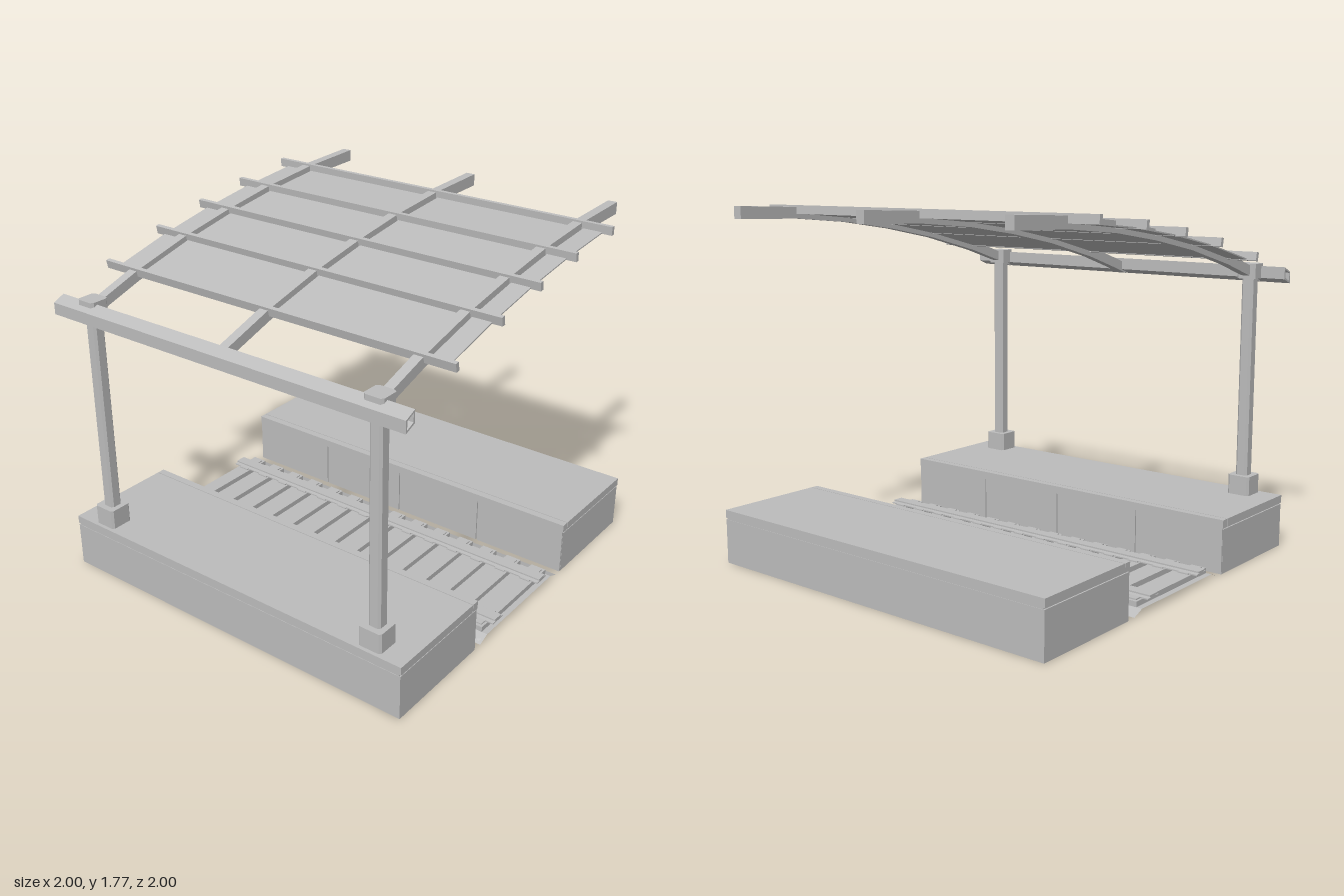
import * as THREE from 'three';

const grey = new THREE.MeshStandardMaterial({ color: 0xbcbcbc });
grey.name = 'plain grey';
const greySheet = new THREE.MeshStandardMaterial({ color: 0xbcbcbc, side: THREE.DoubleSide });
greySheet.name = 'plain grey sheet';

const polygon = (pts) => new THREE.Shape(pts.map(([x, y]) => new THREE.Vector2(x, y)));

export function createModel() {
  const model = new THREE.Group();

  const add = (name, geometry, material = grey, parent = model) => {
    const mesh = new THREE.Mesh(geometry, material);
    mesh.name = name;
    parent.add(mesh);
    return mesh;
  };
  // Box given by its limits
  const box = (name, x0, x1, y0, y1, z0, z1, parent = model) => {
    const mesh = add(name, new THREE.BoxGeometry(x1 - x0, y1 - y0, z1 - z0), grey, parent);
    mesh.position.set((x0 + x1) / 2, (y0 + y1) / 2, (z0 + z1) / 2);
    return mesh;
  };
  // Shape in x and y, extruded from z0 to z1
  const prism = (name, shape, z0, z1, parent = model) => {
    const geo = new THREE.ExtrudeGeometry(shape, { depth: z1 - z0, bevelEnabled: false });
    geo.translate(0, 0, z0);
    return add(name, geo, grey, parent);
  };
  // Upright square block with chamfered corners
  const chamferedPost = (name, x, z, half, cut, y0, y1) => {
    const a = half, b = half - cut;
    const shape = polygon([[-a, -b], [-b, -a], [b, -a], [a, -b], [a, b], [b, a], [-b, a], [-a, b]]);
    const geo = new THREE.ExtrudeGeometry(shape, { depth: y1 - y0, bevelEnabled: false });
    geo.rotateX(-Math.PI / 2);
    add(name, geo).position.set(x, y0, z);
  };

  // Platforms: body, overhanging slab, edging and wall panels on the track side
  for (const side of [-1, 1]) {
    const platform = new THREE.Group();
    platform.name = side < 0 ? 'rightPlatform' : 'leftPlatform';
    model.add(platform);
    const part = (name, a, b, y0, y1, z0, z1) =>
      box(name, Math.min(side * a, side * b), Math.max(side * a, side * b), y0, y1, z0, z1, platform);
    part('platformBody', 0.408, 1, 0.008, 0.232, -0.997, 0.997);
    part('platformGroove', 0.408, 0.998, 0.232, 0.24, -0.99, 0.99);
    part('platformSlab', 0.442, 1, 0.24, 0.28, -1, 1);
    part('platformEdging', 0.4, 0.438, 0.24, 0.28, -1, 1);
    part('edgingJoint', 0.438, 0.442, 0.24, 0.276, -0.998, 0.998);
    for (let i = 0; i < 4; i++) {
      const z = -1 + i * 0.5;
      part('wallPanel', 0.4, 0.408, 0.008, 0.24, z + 0.004, z + 0.496);
    }
  }

  // Ballast bed: thin sheet with sloping shoulders
  const bed = new THREE.PlaneGeometry(0.72, 2, 3, 1).rotateX(-Math.PI / 2).toNonIndexed();
  const pos = bed.attributes.position;
  for (let i = 0; i < pos.count; i++) {
    const outer = Math.abs(pos.getX(i)) > 0.3;
    pos.setY(i, outer ? 0.012 : 0.036);
    if (!outer) pos.setX(i, Math.sign(pos.getX(i)) * 0.3);
  }
  bed.computeVertexNormals();
  add('ballastBed', bed, greySheet);

  // Loose stones
  const stones = [[-0.34, 0.018, 0.98], [0.31, 0.028, 0.6], [-0.12, 0.042, 0.95],
    [0.33, 0.02, -0.4], [-0.11, 0.042, -0.79], [0.05, 0.04, 0.2], [-0.33, 0.022, -0.2]];
  stones.forEach(([x, y, z], i) => {
    const stone = add('stone', new THREE.TetrahedronGeometry(0.014));
    stone.position.set(x, y, z);
    stone.rotation.set(i, i * 2, 0);
  });

  // Sleepers with rail plates
  const sleepers = 14;
  for (let i = 0; i < sleepers; i++) {
    const z = -0.93 + (i * 1.86) / (sleepers - 1);
    box('sleeper', -0.3, 0.3, 0.034, 0.062, z - 0.04, z + 0.04);
    for (const s of [-1, 1]) box('railPlate', s * 0.22 - 0.065, s * 0.22 + 0.065, 0.06, 0.068, z - 0.028, z + 0.028);
  }

  // Rails
  for (const s of [-1, 1]) {
    const x = s * 0.208;
    const profile = [[-0.043, 0.062], [0.043, 0.062], [0.043, 0.068], [0.016, 0.07], [0.028, 0.073],
      [0.028, 0.08], [-0.028, 0.08], [-0.028, 0.073], [-0.016, 0.07], [-0.043, 0.068]];
    prism('rail', polygon(profile.map(([px, py]) => [px + x, py])), -1, 1);
  }

  // Columns with footing and cap
  for (const z of [-0.82, 0.82]) {
    chamferedPost('columnFooting', -0.922, z, 0.06, 0.011, 0.28, 0.38);
    chamferedPost('column', -0.92, z, 0.032, 0.011, 0.38, 1.41);
    chamferedPost('columnCap', -0.92, z, 0.05, 0.012, 1.4, 1.475);
  }

  // Hollow beam along the column tops
  const eaves = polygon([[-1, 1.378], [-0.94, 1.402], [-0.94, 1.462], [-1, 1.436]]);
  eaves.holes.push(new THREE.Path([[-0.991, 1.391], [-0.991, 1.431], [-0.949, 1.449], [-0.949, 1.409]]
    .map(([x, y]) => new THREE.Vector2(x, y))));
  prism('eavesBeam', eaves, -1, 1);

  // Curved roof beams
  const top = [[-0.98, 1.432], [-0.88, 1.465], [-0.65, 1.54], [-0.31, 1.625], [0, 1.683],
    [0.31, 1.73], [0.65, 1.762], [1, 1.775]];
  const bottom = [[-0.98, 1.379], [-0.88, 1.413], [-0.65, 1.486], [-0.31, 1.573], [0, 1.632],
    [0.31, 1.677], [0.65, 1.706], [1, 1.715]];
  for (const z of [-0.82, 0, 0.82]) {
    prism('roofBeam', polygon([...bottom, ...[...top].reverse()]), z - 0.024, z + 0.024);
  }

  // Purlins across the beams
  const purlins = [[-0.65, 1.531, 0.22], [-0.31, 1.615, 0.2], [0, 1.674, 0.16], [0.31, 1.718, 0.1], [0.65, 1.75, 0.06]];
  for (const [x, y, tilt] of purlins) {
    const purlin = box('purlin', x - 0.01, x + 0.01, y - 0.021, y + 0.021, -1, 1);
    purlin.rotation.z = tilt;
  }

  // Roof sheets fill the bays between the beams
  const half = 0.003;
  const sheet = polygon([
    ...purlins.map(([x, y]) => [x, y - 0.016 - half]),
    ...[...purlins].reverse().map(([x, y]) => [x, y - 0.016 + half]),
  ]);
  for (const [z0, z1] of [[-0.95, -0.852], [-0.79, -0.033], [0.033, 0.79], [0.852, 0.95]]) {
    prism('roofSheet', sheet, z0, z1);
  }

  return model;
}
